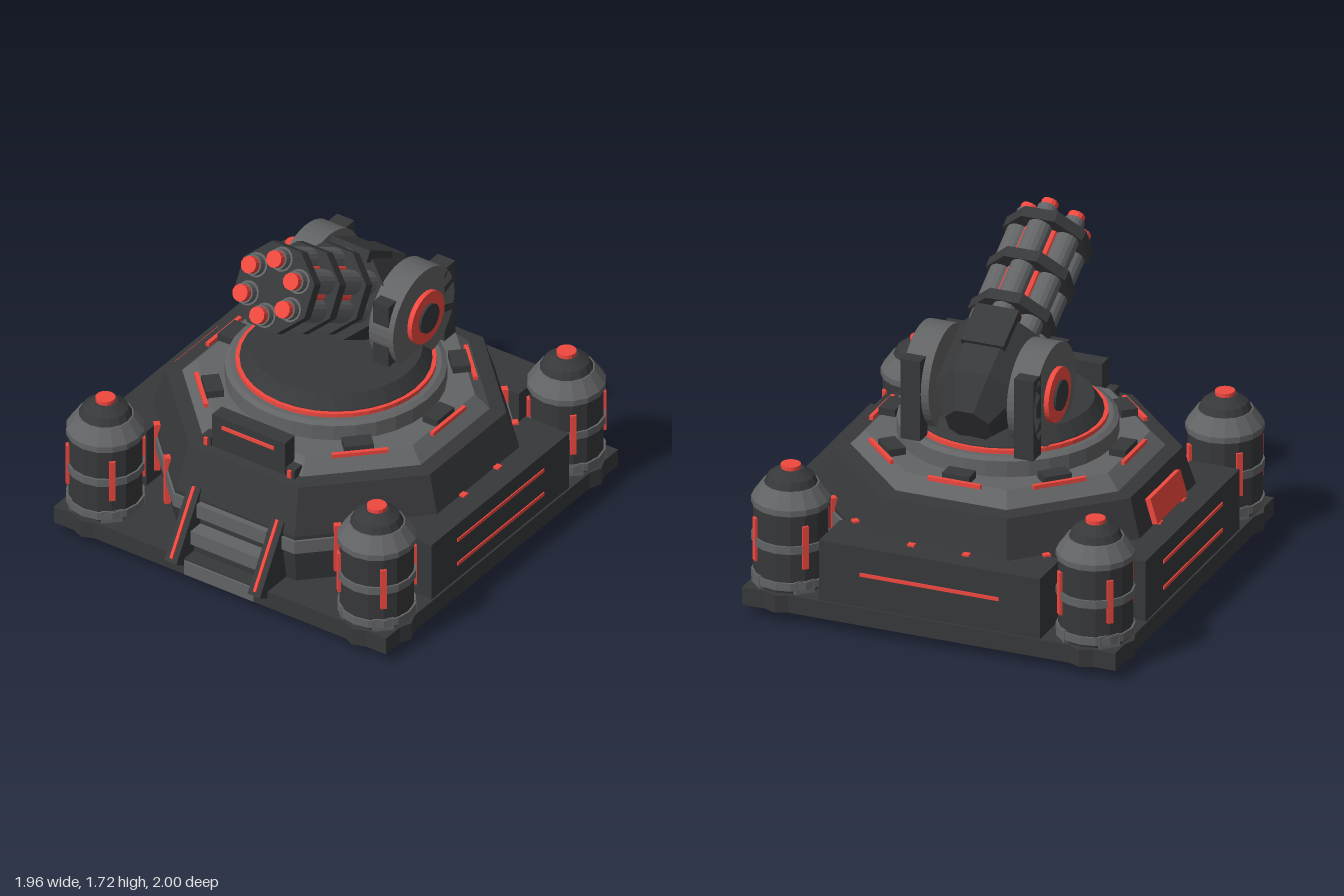
import * as THREE from 'three';

const mat = (color) => new THREE.MeshStandardMaterial({ color, flatShading: true, side: THREE.DoubleSide });
const DARK = mat(0x37383a), GREY = mat(0x626365), RED = mat(0xf0483f);

function add(parent, name, geometry, material, x = 0, y = 0, z = 0) {
  const mesh = new THREE.Mesh(geometry, material);
  mesh.name = name;
  mesh.position.set(x, y, z);
  parent.add(mesh);
  return mesh;
}
function group(parent, name, x = 0, y = 0, z = 0, ry = 0) {
  const g = new THREE.Group();
  g.name = name;
  g.position.set(x, y, z);
  g.rotation.y = ry;
  parent.add(g);
  return g;
}
const box = (w, h, d) => new THREE.BoxGeometry(w, h, d);
const lathe = (points, sides) => new THREE.LatheGeometry(points.map(([r, y]) => new THREE.Vector2(r, y)), sides);
// Octagonal solid with flats facing the axes; radii are given to the flats
const octagon = (points) => lathe(points.map(([a, y]) => [a / Math.cos(Math.PI / 8), y]), 8).rotateY(Math.PI / 8);
// Cylinder along z or x
const rodZ = (r0, r1, len, sides) => new THREE.CylinderGeometry(r1, r0, len, sides).rotateX(Math.PI / 2);
const rodX = (r, len) => new THREE.CylinderGeometry(r, r, len, 40).rotateZ(Math.PI / 2);

function buildTower(parent, x, z) {
  const t = group(parent, 'cornerTower', x, 0, z);
  add(t, 'towerFoot', new THREE.CylinderGeometry(0.2, 0.2, 0.09, 8), DARK, 0, 0.105, 0);
  add(t, 'towerBody', lathe([[0, 0.14], [0.165, 0.14], [0.178, 0.2], [0.178, 0.56], [0, 0.56]], 16), DARK);
  for (const y of [0.19, 0.38]) add(t, 'towerBand', new THREE.CylinderGeometry(0.188, 0.188, 0.04, 16), GREY, 0, y, 0);
  add(t, 'towerShoulder', lathe([[0, 0.555], [0.188, 0.555], [0.188, 0.585], [0.135, 0.66], [0, 0.66]], 16), GREY);
  add(t, 'towerDome', lathe([[0.13, 0.655], [0.11, 0.695], [0.06, 0.73], [0, 0.73]], 16), DARK);
  add(t, 'towerLamp', new THREE.CylinderGeometry(0.048, 0.048, 0.03, 16), RED, 0, 0.735, 0);
  for (let i = 0; i < 4; i++) {
    const side = group(t, 'towerSide', 0, 0, 0, Math.PI / 4 + i * Math.PI / 2);
    add(side, 'towerLight', box(0.03, 0.22, 0.02), RED, 0, 0.39, 0.179);
    add(side, 'footBracket', box(0.1, 0.13, 0.06), GREY, 0, 0.15, 0.15);
  }
}

function buildHull(root) {
  add(root, 'basePlate', box(1.91, 0.09, 1.91), DARK, 0, 0.105, 0);
  add(root, 'hull', octagon([[0.8, 0.14], [0.83, 0.33], [0.83, 0.42], [0.76, 0.65], [0.68, 0.66]]), DARK);
  add(root, 'hullBand', octagon([[0.8, 0.33], [0.842, 0.33], [0.842, 0.4], [0.8, 0.4]]), GREY);
  add(root, 'deck', octagon([[0.69, 0.655], [0.62, 0.73], [0, 0.73]]), GREY);

  // Pads and light strips repeated on the eight sides
  for (let i = 0; i < 8; i++) {
    const s = group(root, 'hullSide', 0, 0, 0, i * Math.PI / 4);
    if (i === 0) continue;
    add(s, 'deckPad', box(0.14, 0.04, 0.085), DARK, 0, 0.747, 0.59);
    add(s, 'deckLight', box(0.27, 0.02, 0.02), RED, 0, 0.735, 0.645);
    for (const x of [-0.14, 0.14]) add(s, 'hullLight', box(0.035, 0.26, 0.03), RED, x, 0.34, 0.832);
  }
  const panel = add(root, 'hullPanel', box(0.04, 0.13, 0.36), RED, -0.805, 0.53, 0);
  panel.rotation.z = -0.29;

  // Armour boxes on the two sides and the back
  for (let i = 1; i < 4; i++) {
    const a = group(root, 'sideArmour', 0, 0, 0, i * Math.PI / 2);
    add(a, 'armourBox', box(1.13, 0.33, 0.25), DARK, 0, 0.295, 0.82);
    for (const y of i === 2 ? [0.32] : [0.235, 0.37])
      add(a, 'armourLight', box(0.71, 0.018, 0.02), RED, 0, y, 0.941);
  }
  for (const x of [-0.78, 0.78]) for (const z of [-0.78, 0.78]) buildTower(root, x, z);

  // Console over the entrance
  add(root, 'console', box(0.42, 0.18, 0.08), DARK, 0, 0.75, 0.68);
  add(root, 'consoleLight', box(0.3, 0.018, 0.02), RED, 0, 0.79, 0.718);
  for (const x of [-0.24, 0.24]) {
    add(root, 'consoleHinge', box(0.05, 0.05, 0.06), DARK, x, 0.68, 0.69);
    add(root, 'hingeLight', box(0.02, 0.04, 0.02), RED, x, 0.68, 0.722);
  }

  // Entrance steps with sloping rails
  const stairs = group(root, 'stairs');
  [[0.105, 0.965], [0.245, 0.91], [0.37, 0.86]].forEach(([y, z]) => {
    add(stairs, 'step', box(0.4, 0.075, 0.16), GREY, 0, y, z - 0.08);
    add(stairs, 'riser', box(0.4, 0.08, 0.14), DARK, 0, y - 0.06, z - 0.1).visible = y > 0.2;
  });
  for (const x of [-0.24, 0.24]) {
    const rail = group(stairs, 'stairRail', x, 0.24, 0.805);
    rail.rotation.x = -0.55;
    add(rail, 'railBeam', box(0.07, 0.38, 0.27), DARK);
    add(rail, 'railLight', box(0.016, 0.36, 0.02), RED, 0, 0.01, 0.134);
  }
}

function buildTurret(root) {
  add(root, 'turretPlinth', lathe([[0.525, 0.73], [0.525, 0.81], [0.5, 0.825], [0, 0.825]], 32), GREY);
  add(root, 'turretGlowRing', new THREE.CylinderGeometry(0.475, 0.475, 0.025, 40), RED, 0, 0.833, 0);
  add(root, 'turretBase', lathe([[0.455, 0.84], [0.455, 0.85], [0.41, 0.915], [0, 0.915]], 32), DARK);

  const pivot = group(root, 'gunMount', 0, 1.08, -0.235);
  for (const s of [-1, 1]) {
    add(pivot, 'mountDisc', rodX(0.252, 0.14), GREY, s * 0.27, 0, 0);
    add(pivot, 'mountGlowRing', rodX(0.135, 0.05), RED, s * 0.34, 0, 0);
    add(pivot, 'mountHub', rodX(0.075, 0.05), DARK, s * 0.353, 0, 0);
    add(pivot, 'frontPost', box(0.09, 0.34, 0.08), DARK, s * 0.265, 0.005, 0.205);
    add(pivot, 'rearPost', box(0.1, 0.41, 0.09), DARK, s * 0.29, -0.035, -0.215);
  }

  // Gun, built along +z and raised by 30 degrees
  const gun = group(pivot, 'gun');
  gun.rotation.x = -Math.PI / 6;
  add(gun, 'breech', rodZ(0.235, 0.235, 0.34, 8).rotateZ(Math.PI / 8), DARK, 0, 0.01, 0.06);
  add(gun, 'breechRear', rodZ(0.12, 0.235, 0.16, 8).rotateZ(Math.PI / 8), DARK, 0, 0.01, -0.19);
  add(gun, 'breechCover', box(0.22, 0.06, 0.22), DARK, 0, 0.215, 0.16);
  const cluster = group(gun, 'barrelCluster', 0, 0.02, 0);
  add(cluster, 'barrelCore', rodZ(0.1, 0.1, 0.66, 12), DARK, 0, 0, 0.53);
  for (const z of [0.35, 0.6, 0.84])
    add(cluster, 'barrelClamp', rodZ(0.22, 0.22, 0.06, 8).rotateZ(Math.PI / 8), DARK, 0, 0, z);
  for (let i = 0; i < 6; i++) {
    const a = i * Math.PI / 3, b = a + Math.PI / 6;
    const x = Math.sin(a) * 0.14, y = Math.cos(a) * 0.14;
    add(cluster, 'barrel', rodZ(0.06, 0.06, 0.7, 16), GREY, x, y, 0.53);
    add(cluster, 'muzzleCollar', rodZ(0.05, 0.05, 0.05, 16), GREY, x, y, 0.895);
    add(cluster, 'muzzle', rodZ(0.042, 0.042, 0.05, 12), RED, x, y, 0.93);
    add(cluster, 'barrelLight', rodZ(0.018, 0.018, 0.52, 8), RED, Math.sin(b) * 0.13, Math.cos(b) * 0.13, 0.55);
  }
}

export function createModel() {
  const model = new THREE.Group();
  model.name = 'gunTurret';
  const root = group(model, 'turretAssembly', 0, 0, -0.02);
  buildHull(root);
  buildTurret(root);
  return model;
}
